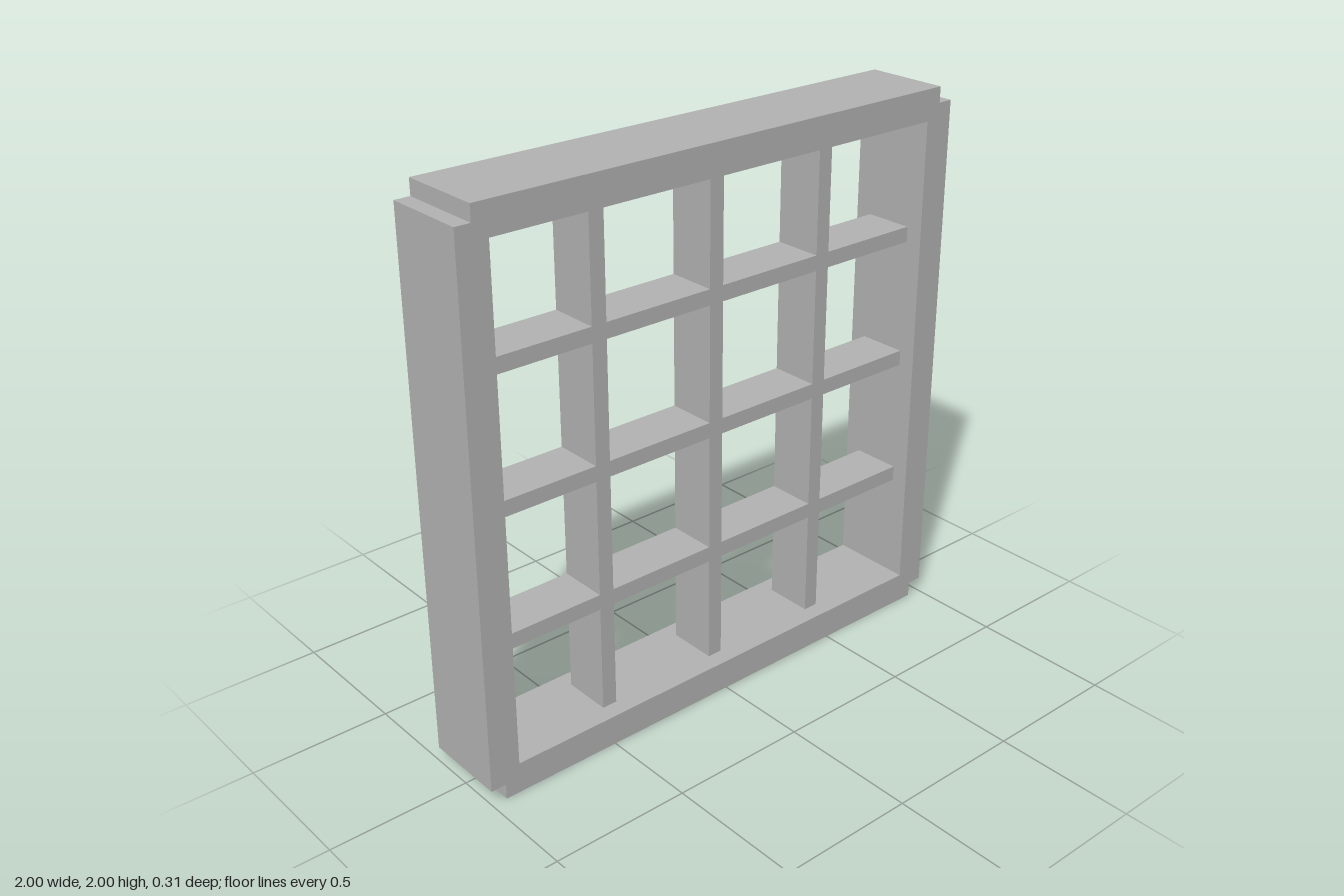
import * as THREE from 'three';

const U = 1 / 18;              // basic module: the width of one lattice bar
const FRAME_DEPTH = 5.5 * U;
const LATTICE_DEPTH = 0.18;
const INNER = 1 - 2 * U;       // half size of the frame opening
const PITCH = 8.5 * U;         // spacing between bar centres

function rectangle(target, x0, y0, x1, y1) {
  target.moveTo(x0, y0);
  target.lineTo(x1, y0);
  target.lineTo(x1, y1);
  target.lineTo(x0, y1);
  target.closePath();
  return target;
}

// Extrude a shape centred on z = 0
function slab(name, shape, depth, material) {
  const geometry = new THREE.ExtrudeGeometry(shape, { depth, bevelEnabled: false });
  geometry.translate(0, 0, -depth / 2);
  const mesh = new THREE.Mesh(geometry, material);
  mesh.name = name;
  mesh.position.y = 1;
  return mesh;
}

export function createModel() {
  const model = new THREE.Group();
  model.name = 'latticeWindow';

  const grey = new THREE.MeshStandardMaterial({ color: 0xb2b2b2 });
  grey.name = 'grey';

  // Outer frame with a square notch at each corner
  const n = 1 - U;
  const outline = new THREE.Shape([
    [-n, -1], [n, -1], [n, -n], [1, -n], [1, n], [n, n],
    [n, 1], [-n, 1], [-n, n], [-1, n], [-1, -n], [-n, -n],
  ].map(([x, y]) => new THREE.Vector2(x, y)));
  outline.holes.push(rectangle(new THREE.Path(), -INNER, -INNER, INNER, INNER));
  model.add(slab('frame', outline, FRAME_DEPTH, grey));

  // Recessed lattice: vertical bars at full height
  const lattice = new THREE.Group();
  lattice.name = 'lattice';
  const centres = [-PITCH, 0, PITCH];
  for (const x of centres) {
    const bar = rectangle(new THREE.Shape(), x - U / 2, -INNER, x + U / 2, INNER);
    lattice.add(slab('verticalBar', bar, LATTICE_DEPTH, grey));
  }

  // Horizontal bars, cut into segments between the vertical ones
  const starts = [-INNER, ...centres.map((x) => x + U / 2)];
  const ends = [...centres.map((x) => x - U / 2), INNER];
  for (const y of centres) {
    starts.forEach((x0, i) => {
      const bar = rectangle(new THREE.Shape(), x0, y - U / 2, ends[i], y + U / 2);
      lattice.add(slab('horizontalBar', bar, LATTICE_DEPTH, grey));
    });
  }
  model.add(lattice);

  return model;
}
